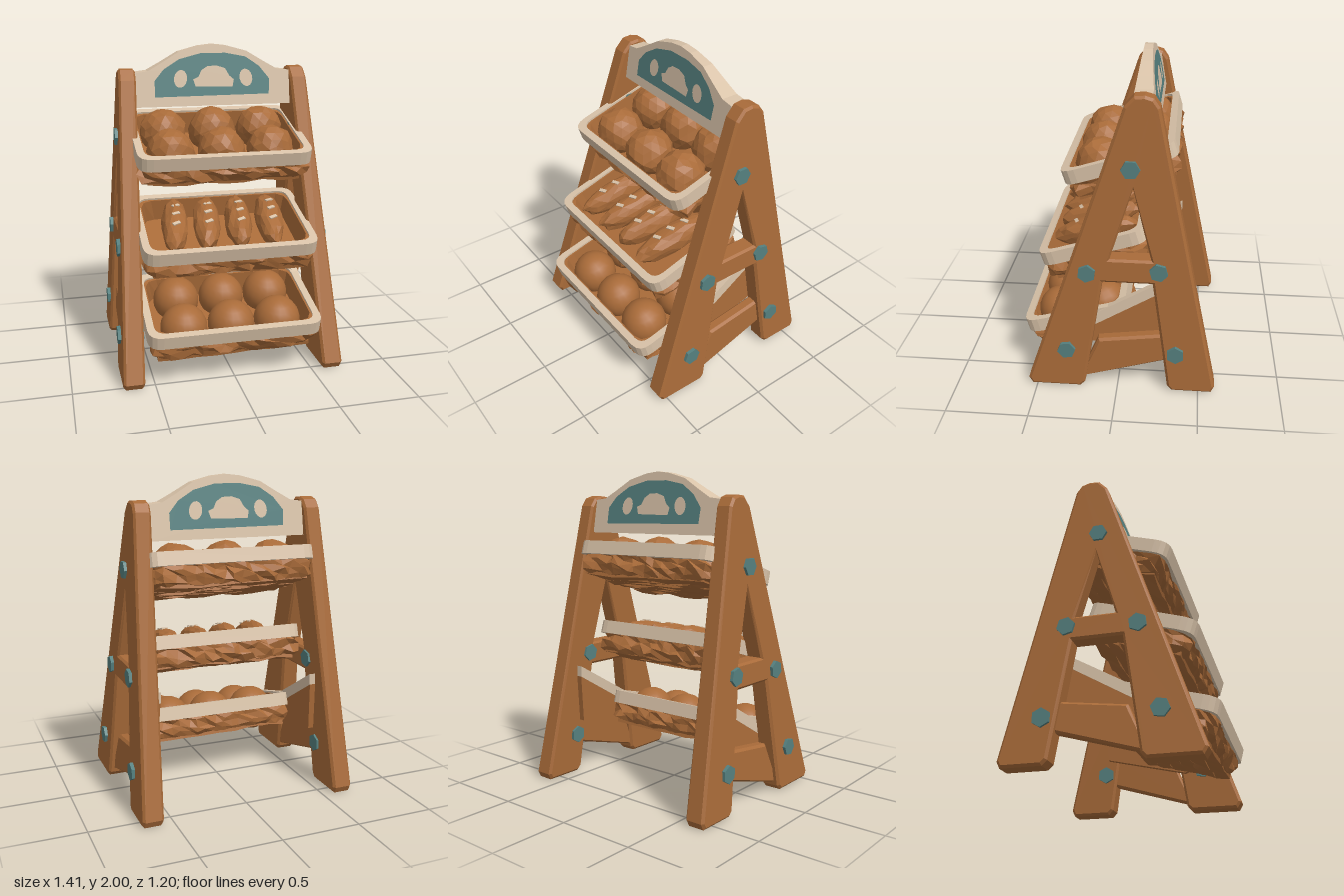
import * as THREE from 'three';

const wood = new THREE.MeshStandardMaterial({ color: 0xa96b39 });
const cream = new THREE.MeshStandardMaterial({ color: 0xd8c2a8 });
const teal = new THREE.MeshStandardMaterial({ color: 0x55807f });
wood.name = 'warm brown'; cream.name = 'cream'; teal.name = 'dull teal';

// Repeatable noise in -1..1 from a position, so coincident corners move together
function noise(x, y, z, seed) {
  const s = Math.sin(Math.round(x * 1e3) * 12.99 + Math.round(y * 1e3) * 78.23 + Math.round(z * 1e3) * 37.72 + seed * 9.17) * 437.58;
  return 2 * (s - Math.floor(s)) - 1;
}

function moveVertices(geo, rule) {
  const p = geo.attributes.position, v = new THREE.Vector3();
  for (let i = 0; i < p.count; i++) {
    rule(v.fromBufferAttribute(p, i));
    p.setXYZ(i, v.x, v.y, v.z);
  }
  geo.computeVertexNormals();
  return geo;
}

function add(parent, name, geo, mat, x = 0, y = 0, z = 0) {
  const m = new THREE.Mesh(geo, mat);
  m.name = name;
  m.position.set(x, y, z);
  parent.add(m);
  return m;
}

const toShape = pts => new THREE.Shape(pts.map(([a, b]) => new THREE.Vector2(a, b)));
const legX = y => 0.633 - 0.045 * y;

// Slab outlined in (z, y), leaning inwards with height
function slab(pts, thick, side, shift = 0, hole = null, bevel = 0.015) {
  const shape = toShape(pts);
  if (hole) shape.holes.push(toShape(hole));
  const geo = new THREE.ExtrudeGeometry(shape, {
    depth: thick - 2 * bevel, bevelEnabled: bevel > 0, bevelSize: bevel, bevelOffset: -bevel,
    bevelThickness: bevel, bevelSegments: 1
  });
  geo.translate(0, 0, bevel - thick / 2).rotateY(-Math.PI / 2);
  return moveVertices(geo, v => { v.x = v.x * (1 - 0.1 * v.y) + side * (legX(v.y) + shift); });
}

function roundedRect(hx, hz, r) {
  const s = new THREE.Shape();
  s.moveTo(hx, r - hz).lineTo(hx, hz - r).quadraticCurveTo(hx, hz, hx - r, hz);
  s.lineTo(r - hx, hz).quadraticCurveTo(-hx, hz, -hx, hz - r);
  s.lineTo(-hx, r - hz).quadraticCurveTo(-hx, -hz, r - hx, -hz);
  s.lineTo(hx - r, -hz).quadraticCurveTo(hx, -hz, hx, r - hz);
  return s;
}

// Rough woven basket: rings from the inner floor, over the lip, down to the underside
function basketGeometry(hz, seed) {
  const N = 52, pos = [], index = [];
  const rings = [ // inset, y, roughness
    [0.29, -0.15, 0], [0.06, -0.15, 0], [0.045, -0.012, 0], [0.012, -0.012, 0.004], [0.008, -0.08, 0.01],
    [0.01, -0.105, 0.02], [0.006, -0.14, 0.02], [0.014, -0.175, 0.018], [0.04, -0.2, 0.012], [0.29, -0.2, 0]
  ];
  rings.forEach(([inset, y, rough], k) => {
    const hx = 0.535 - inset, h = hz - inset;
    const pts = roundedRect(hx, h, Math.min(0.09, h * 0.8)).getSpacedPoints(N);
    for (let i = 0; i < N; i++) {
      const { x, y: z } = pts[i], n = rough * noise(i, k, 1, seed);
      pos.push(x + n * Math.sign(x), y + rough * 0.8 * noise(i, k, 2, seed), z + n * Math.sign(z));
    }
  });
  for (let k = 0; k < rings.length - 1; k++) for (let i = 0; i < N; i++) {
    const a = k * N + i, b = k * N + (i + 1) % N;
    index.push(a, b, a + N, b, b + N, a + N);
  }
  const geo = new THREE.BufferGeometry();
  geo.setAttribute('position', new THREE.Float32BufferAttribute(pos, 3));
  geo.setIndex(index);
  const flat = geo.toNonIndexed();
  flat.computeVertexNormals();
  return flat;
}

function tray(name, y, z, tilt, hz, seed) {
  const g = new THREE.Group();
  g.name = name;
  g.position.set(0, y, z);
  g.rotation.x = tilt;
  add(g, 'basketBody', basketGeometry(hz, seed), wood);
  add(g, 'basketFloor', new THREE.BoxGeometry(0.9, 0.04, hz * 2 - 0.14), wood, 0, -0.17, 0);
  // Cream band round the top
  const band = roundedRect(0.545, hz + 0.01, 0.09);
  band.holes.push(roundedRect(0.5, hz - 0.035, 0.07));
  add(g, 'rim', new THREE.ExtrudeGeometry(band, { depth: 0.085, bevelEnabled: false, curveSegments: 4 }).rotateX(Math.PI / 2), cream);
  // Uneven slats on the underside
  for (let i = 0; i < 6; i++) {
    const w = (hz * 2 - 0.08) / 6;
    const geo = new THREE.BoxGeometry(0.96, 0.03, w * 0.96, 8, 1, 1).toNonIndexed();
    moveVertices(geo, v => { v.y += 0.011 * noise(v.x, v.y, v.z, seed + i); });
    add(g, 'slat', geo, wood, 0, -0.198, (i - 2.5) * w);
  }
  return g;
}

// Round loaf; rough loaves are faceted, plain ones smooth
function bun(r, rough, seed) {
  if (!rough) return new THREE.SphereGeometry(r, 18, 12);
  return moveVertices(new THREE.IcosahedronGeometry(r, 2), v => {
    v.multiplyScalar(1 + rough * noise(v.x, v.y, v.z, seed));
  });
}

// Sign: thickness tapers towards the top
const signZ = -0.135;
const signHalf = y => 0.09 - 0.168 * (y - 1.62);

function signPlate(parent, name, shape, mat, lift) {
  for (const dir of [1, -1]) {
    const geo = new THREE.ShapeGeometry(shape, 8);
    if (dir < 0) geo.rotateY(Math.PI);
    moveVertices(geo, v => { v.z = signZ + dir * (signHalf(v.y) + lift); });
    add(parent, name, geo, mat);
  }
}

export function createModel() {
  const model = new THREE.Group();
  model.name = 'breadStand';

  const frame = [[0.555, 0.04], [0.53, 0], [0.23, 0], [0.2, 0.03], [0.09, 0.73], [-0.21, 0.73], [-0.31, 0.03],
    [-0.34, 0], [-0.58, 0], [-0.6, 0.04], [-0.235, 1.79], [-0.2, 1.84], [-0.15, 1.855], [-0.09, 1.85], [-0.035, 1.79]];
  const opening = [[-0.09, 1.32], [-0.2, 0.88], [0.045, 0.88]];
  const brace = [[0.24, 0.04], [0.12, 0.32], [-0.27, 0.37], [-0.36, 0.21]];
  const boardTop = [[0.3, 0.36], [-0.36, 0.74], [-0.36, 0.67], [0.3, 0.28]];
  const board = [[0.3, 0.28], [-0.36, 0.67], [-0.33, 0.36], [0.2, 0.24]];
  const bolts = [[-0.075, 1.44], [0.18, 0.79], [-0.245, 0.815], [0.31, 0.265], [-0.355, 0.265]];

  // A-shaped sides with braces, tray supports and bolts
  for (const side of [1, -1]) {
    const g = new THREE.Group();
    g.name = side > 0 ? 'leftSide' : 'rightSide';
    add(g, 'sideFrame', slab(frame, 0.13, side, 0, opening), wood);
    add(g, 'lowerBrace', slab(brace, 0.08, side, -0.01), wood);
    add(g, 'trayBoard', slab(board, 0.04, side, -0.08, null, 0), wood);
    add(g, 'trayBoardEdge', slab(boardTop, 0.045, side, -0.08, null, 0), cream);
    bolts.forEach(([z, y], i) => {
      const geo = new THREE.CylinderGeometry(0.056, 0.056, 0.165 - 0.015 * y, 6).toNonIndexed();
      geo.computeVertexNormals();
      const bolt = add(g, 'bolt', geo, teal, side * (legX(y) + 0.002), y, z);
      bolt.rotation.set(0.4 * i, 0, Math.PI / 2);
    });
    model.add(g);
  }

  // Sign board with a painted panel on both faces
  const sign = new THREE.Group();
  sign.name = 'sign';
  const half = [[0.5, 1.62], [0.5, 1.83], [0.42, 1.84], [0.33, 1.89], [0.22, 1.955], [0.09, 1.99]];
  const outline = [...half, [0, 2], ...half.map(([x, y]) => [-x, y]).reverse()];
  const boardGeo = new THREE.ExtrudeGeometry(toShape(outline), { depth: 2, bevelEnabled: false }).translate(0, 0, -1);
  add(sign, 'signBoard', moveVertices(boardGeo, v => { v.z = signZ + v.z * signHalf(v.y); }), cream);
  signPlate(sign, 'signPanel', toShape([[-0.38, 1.68], [0.36, 1.685], [0.365, 1.78], [0.3, 1.86], [0.21, 1.92],
    [0.08, 1.945], [-0.08, 1.945], [-0.22, 1.91], [-0.32, 1.85], [-0.38, 1.78]]), teal, 0.003);
  signPlate(sign, 'paintedLoaf', toShape([[-0.12, 1.74], [0.12, 1.735], [0.13, 1.78], [0.1, 1.805], [0.075, 1.85],
    [0.02, 1.868], [-0.04, 1.865], [-0.08, 1.84], [-0.1, 1.8], [-0.135, 1.785]]), cream, 0.006);
  for (const x of [-0.215, 0.21]) {
    const oval = new THREE.Shape();
    oval.absellipse(x, 1.79, 0.042, 0.055, 0, Math.PI * 2, false, x);
    signPlate(sign, 'paintedBun', oval, cream, 0.006);
  }
  model.add(sign);

  // Three tilted trays
  const top = tray('topTray', 1.47, 0.015, 0.3, 0.335, 1);
  const middle = tray('middleTray', 0.93, 0.175, 0.3, 0.325, 2);
  const bottom = tray('bottomTray', 0.435, 0.285, 0.26, 0.32, 3);
  model.add(top, middle, bottom);

  // Two rows of three round loaves in the top and bottom trays
  for (let row = 0; row < 2; row++) for (let col = -1; col <= 1; col++) {
    const seed = row * 3 + col + 5, z = row ? -0.145 : 0.14;
    add(top, 'crustyLoaf', bun(0.15, 0.05, seed), wood, col * 0.32, -0.07, z);
    add(bottom, 'roundBun', bun(0.147, 0, seed), wood, col * 0.3, -0.085, z);
  }

  // Four long loaves with pale slashes
  for (let i = 0; i < 4; i++) {
    const loaf = new THREE.Group();
    loaf.name = 'longLoaf';
    loaf.position.set((i - 1.5) * 0.205, -0.025, 0);
    loaf.rotation.y = -0.14;
    const geo = moveVertices(bun(1, 0.07, i + 20), v => v.multiply(new THREE.Vector3(0.085, 0.09, 0.27)));
    add(loaf, 'crust', geo, wood);
    for (const z of [-0.1, 0.0, 0.1]) {
      const slash = add(loaf, 'slash', new THREE.BoxGeometry(0.05, 0.008, 0.022), cream, 0.005, 0.09 * Math.sqrt(1 - (z / 0.27) ** 2), z);
      slash.rotation.set(z * 1.3, 0.5, 0);
    }
    middle.add(loaf);
  }
  return model;
}
